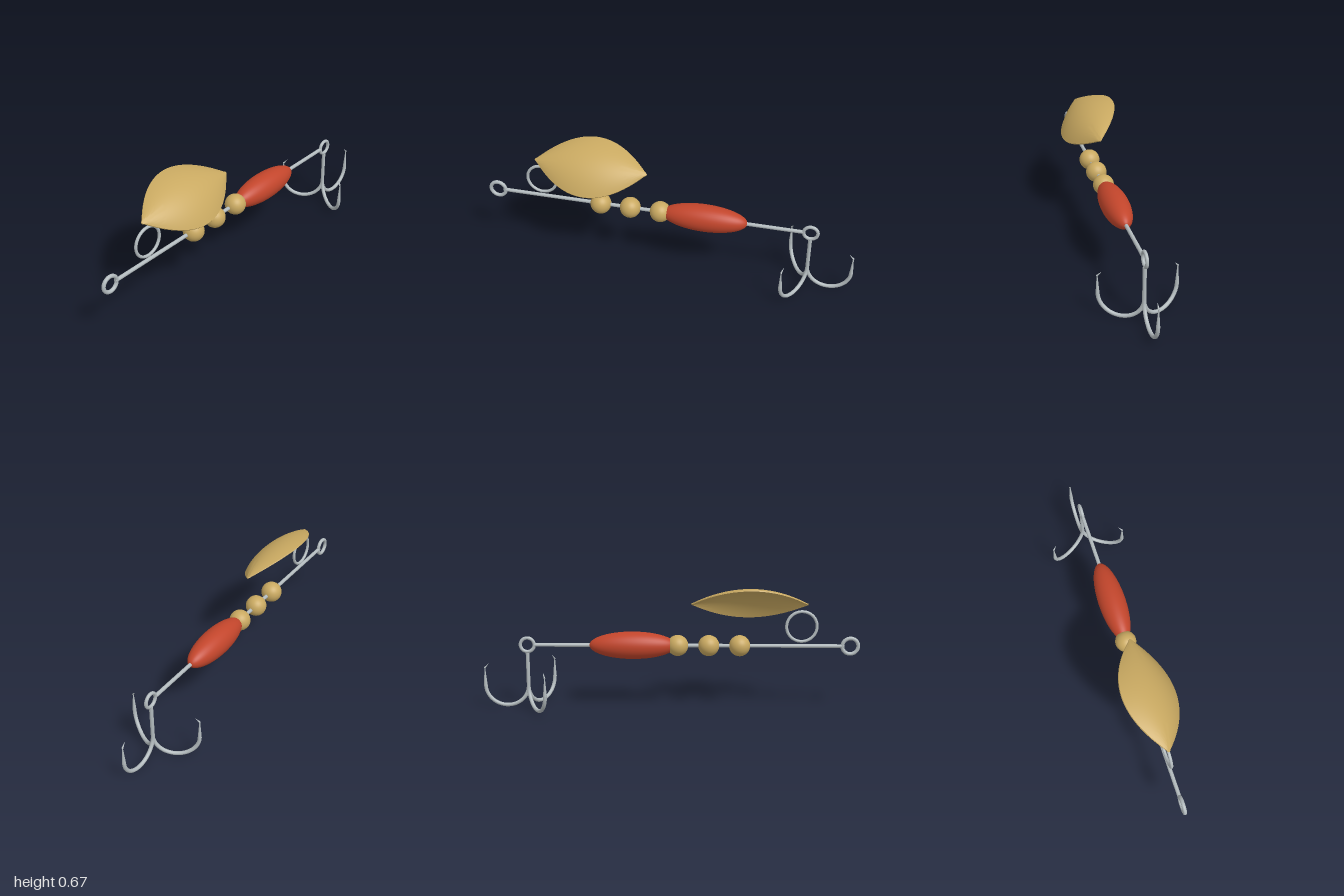
import * as THREE from 'three';
import { toCreasedNormals } from 'three/addons/utils/BufferGeometryUtils.js';

const steel = new THREE.MeshStandardMaterial({ name: 'steel', color: 0xb2babd });
const gold = new THREE.MeshStandardMaterial({ name: 'gold', color: 0xc9a961 });
const red = new THREE.MeshStandardMaterial({ name: 'red', color: 0xc2452b });

const AXIS_Y = 0.342;

function add(parent, name, geometry, material, x = 0, y = 0, z = 0) {
  const mesh = new THREE.Mesh(geometry, material);
  mesh.name = name;
  mesh.position.set(x, y, z);
  parent.add(mesh);
  return mesh;
}

// Round bar, possibly tapered, between two points
function bar(parent, name, a, b, ra, rb, material) {
  const dir = b.clone().sub(a);
  const mesh = add(parent, name, new THREE.CylinderGeometry(rb, ra, dir.length(), 16), material);
  mesh.position.copy(a).add(b).multiplyScalar(0.5);
  mesh.quaternion.setFromUnitVectors(new THREE.Vector3(0, 1, 0), dir.normalize());
  return mesh;
}

// Domed leaf-shaped shell: each cross-section is a closed loop over and under
function bladeGeometry(halfLength, halfWidth, depth, thickness) {
  const rows = 48, cols = 24, ring = 2 * (cols + 1);
  const pos = [], idx = [];
  for (let i = 0; i <= rows; i++) {
    const u = -1 + (2 * i) / rows;
    const taper = 1 - u * u;
    const width = Math.max(0.004, halfWidth * taper);
    for (let k = 0; k < ring; k++) {
      const top = k <= cols;
      const v = -1 + (2 * (top ? k : ring - 1 - k)) / cols;
      const h = depth * taper * (1 - v * v);
      pos.push(u * halfLength, h - (top ? 0 : thickness), v * width);
    }
  }
  for (let i = 0; i < rows; i++) {
    for (let k = 0; k < ring; k++) {
      const a = i * ring + k, b = i * ring + ((k + 1) % ring);
      idx.push(a, b, a + ring, b, b + ring, a + ring);
    }
  }
  // End caps
  for (let k = 0; k < cols; k++) {
    const m = ring - 1 - k, e = rows * ring;
    idx.push(k, m, k + 1, k + 1, m, m - 1);
    idx.push(e + k, e + k + 1, e + m, e + k + 1, e + m - 1, e + m);
  }
  const g = new THREE.BufferGeometry();
  g.setAttribute('position', new THREE.Float32BufferAttribute(pos, 3));
  g.setIndex(idx);
  return toCreasedNormals(g, 0.6);
}

// One hook arm in the local XY plane, bending out along +x
function hookArm() {
  const arm = new THREE.Group();
  arm.name = 'hookArm';
  const r = 0.115, cy = 0.12;
  const points = [];
  for (let i = 0; i <= 16; i++) {
    const t = Math.PI + (Math.PI * i) / 16;
    points.push(new THREE.Vector3(r + r * Math.cos(t), cy + (cy - 0.01) * Math.sin(t), 0));
  }
  add(arm, 'hookBend', new THREE.TubeGeometry(new THREE.CatmullRomCurve3(points), 48, 0.01, 12), steel);
  const bendEnd = new THREE.Vector3(2 * r, cy - 0.004, 0);
  const neck = new THREE.Vector3(2 * r + 0.002, 0.217, 0);
  bar(arm, 'hookPoint', bendEnd, neck, 0.01, 0.002, steel);
  bar(arm, 'hookBarb', new THREE.Vector3(2 * r + 0.003, 0.213, 0), new THREE.Vector3(0.211, 0.238, 0), 0.005, 0.0004, steel);
  return arm;
}

export function createModel() {
  const model = new THREE.Group();
  model.name = 'spinnerLure';

  // Straight wire with an eye at each end
  bar(model, 'wireShaft', new THREE.Vector3(-0.915, AXIS_Y, 0), new THREE.Vector3(0.72, AXIS_Y, 0), 0.01, 0.01, steel);
  add(model, 'lineEye', new THREE.TorusGeometry(0.042, 0.01, 14, 40), steel, -0.948, AXIS_Y);
  add(model, 'hookEye', new THREE.TorusGeometry(0.037, 0.009, 14, 40), steel, 0.76, AXIS_Y);

  // Ring carrying the blade
  add(model, 'bladeRing', new THREE.TorusGeometry(0.08, 0.008, 14, 48), steel, -0.69, 0.447);

  // Spinner blade, tilted about the wire direction
  const blade = add(model, 'blade', bladeGeometry(0.305, 0.173, 0.06, 0.006), gold, -0.415, 0.568, 0);
  blade.rotation.x = 0.603;

  // Beads and body
  for (const x of [-0.365, -0.202, -0.038]) {
    add(model, 'bead', new THREE.SphereGeometry(0.056, 32, 20), gold, x, AXIS_Y);
  }
  const body = add(model, 'body', new THREE.SphereGeometry(1, 40, 28).rotateZ(Math.PI / 2), red, 0.2, AXIS_Y);
  body.scale.set(0.23, 0.073, 0.073);

  // Treble hook
  const treble = new THREE.Group();
  treble.name = 'trebleHook';
  treble.position.x = 0.76;
  bar(treble, 'hookShank', new THREE.Vector3(0, 0.115, 0), new THREE.Vector3(0, 0.3, 0), 0.01, 0.01, steel);
  for (let i = 0; i < 3; i++) {
    const arm = hookArm();
    arm.rotation.y = (i * 2 * Math.PI) / 3;
    treble.add(arm);
  }
  model.add(treble);

  return model;
}
